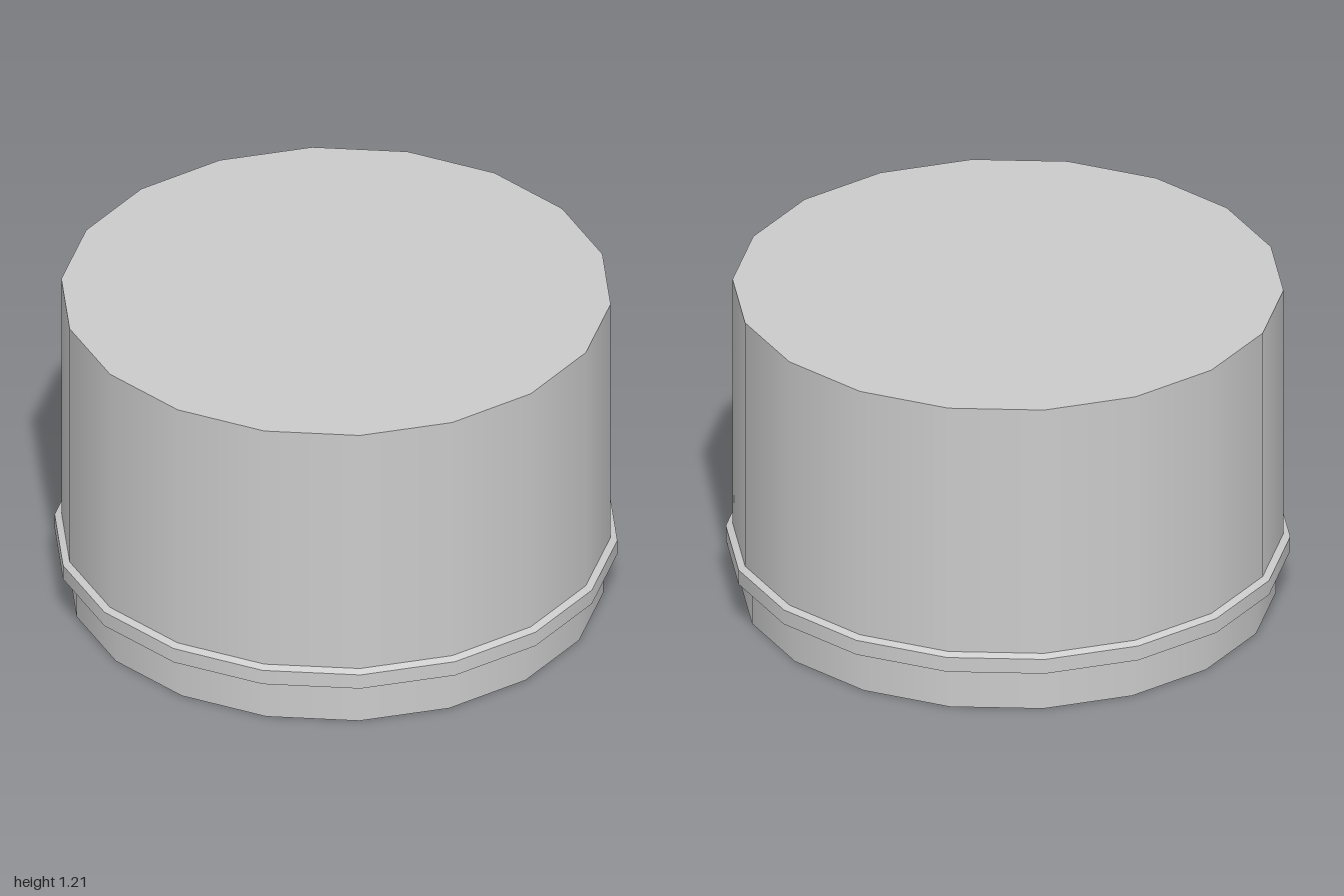
import * as THREE from 'three';

const SIDES = 18;

export function createModel() {
  const group = new THREE.Group();
  const material = new THREE.MeshStandardMaterial({ color: 0xcccccc, side: THREE.DoubleSide });

  // One open ring of wall between two heights, smooth around, sharp at its rims
  function wall(name, rBottom, yBottom, rTop, yTop) {
    const geometry = new THREE.CylinderGeometry(
      rTop, rBottom, yTop - yBottom, SIDES, 1, true, Math.PI * 0.75);
    geometry.translate(0, (yBottom + yTop) / 2, 0);
    const mesh = new THREE.Mesh(geometry, material);
    mesh.name = name;
    group.add(mesh);
  }

  // Thin shell, open at the bottom
  wall('skirt', 0.953, 0, 0.953, 0.155);
  wall('bandUnderside', 0.953, 0.155, 1.003, 0.165);
  wall('band', 1.003, 0.165, 1.003, 0.222);
  wall('bandShoulder', 1.003, 0.222, 0.979, 0.234);
  wall('body', 0.979, 0.234, 0.979, 1.206);

  // Flat lid closing the top
  const lidGeometry = new THREE.CircleGeometry(0.979, SIDES, Math.PI / 4);
  lidGeometry.rotateX(-Math.PI / 2);
  const lid = new THREE.Mesh(lidGeometry, material);
  lid.name = 'lid';
  lid.position.y = 1.206;
  group.add(lid);

  return group;
}
